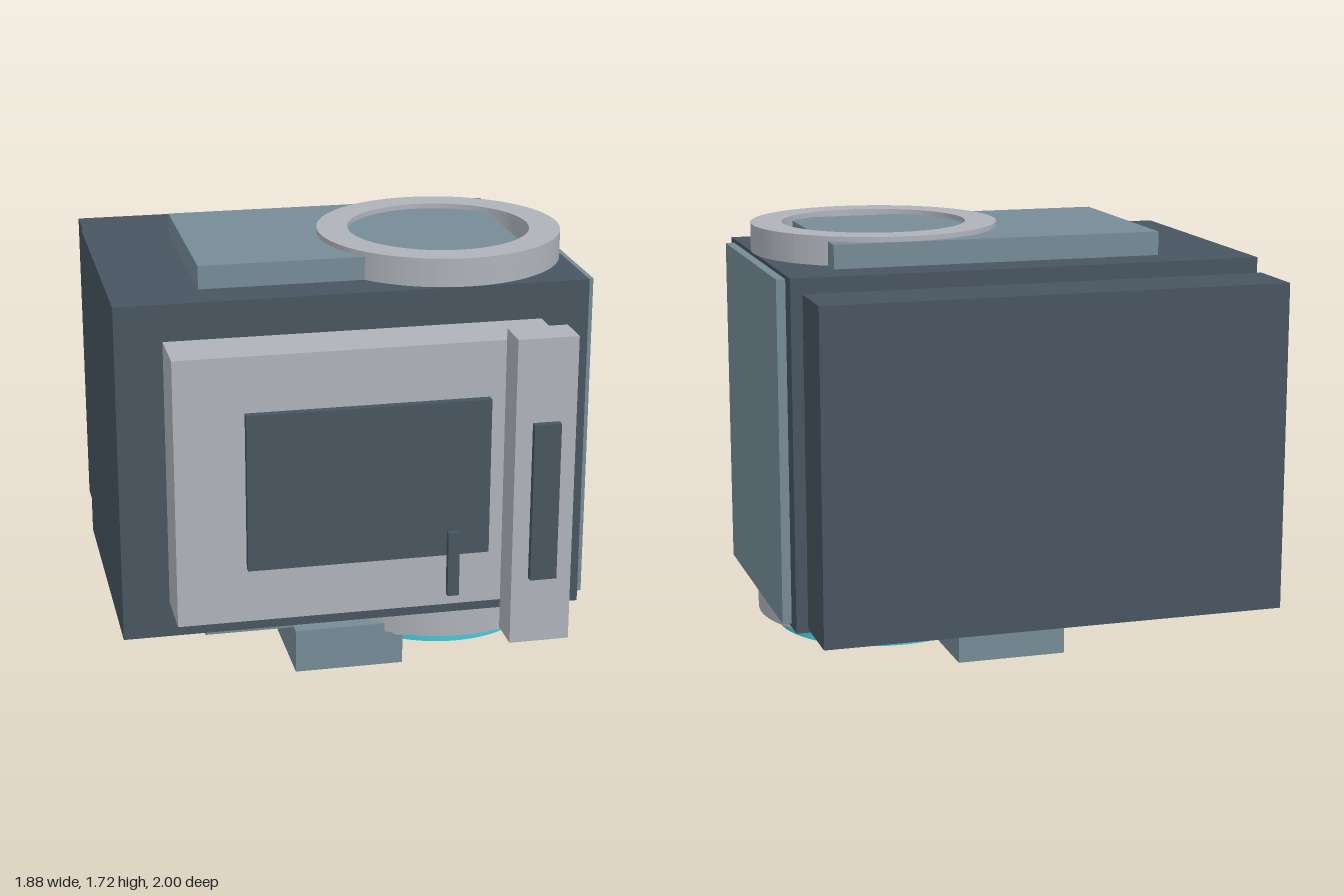
import * as THREE from 'three';

const mat = (name, color) => {
  const m = new THREE.MeshStandardMaterial({ color });
  m.name = name;
  return m;
};

export function createModel() {
  const group = new THREE.Group();
  const dark = mat('dark slate', 0x485560);
  const steel = mat('steel blue', 0x768c97);
  const light = mat('light grey', 0xafb3ba);
  const teal = mat('teal', 0x45cbd8);

  const add = (name, geometry, material) => {
    const mesh = new THREE.Mesh(geometry, material);
    mesh.name = name;
    group.add(mesh);
    return mesh;
  };

  // Box given by its limits on each axis
  const box = (name, material, [x0, x1], [y0, y1], [z0, z1]) =>
    add(name, new THREE.BoxGeometry(x1 - x0, y1 - y0, z1 - z0), material)
      .position.set((x0 + x1) / 2, (y0 + y1) / 2, (z0 + z1) / 2);

  // Flat ring lying in the horizontal plane
  const cx = 0.42, cz = 0.015;
  const ring = (name, material, outer, inner, y0, y1) => {
    const shape = new THREE.Shape().absarc(0, 0, outer, 0, Math.PI * 2);
    shape.holes.push(new THREE.Path().absarc(0, 0, inner, 0, Math.PI * 2, true));
    const g = new THREE.ExtrudeGeometry(shape, { depth: y1 - y0, bevelEnabled: false, curveSegments: 48 });
    g.rotateX(-Math.PI / 2);
    add(name, g, material).position.set(cx, y0, cz);
  };

  // Housing, rear block and the joint between them
  box('mainBody', dark, [-0.94, 0.9], [0.255, 1.605], [-0.645, 0.5]);
  box('rearJoint', steel, [-0.84, 0.8], [0.33, 1.53], [-0.74, -0.645]);
  box('rearBlock', dark, [-0.917, 0.875], [0.3, 1.56], [-1, -0.738]);
  box('sidePanel', steel, [0.9, 0.935], [0.27, 1.59], [-0.56, 0.44]);

  // Front frame with its screen and small lever
  box('frontFrame', light, [-0.757, 0.712], [0.4, 1.46], [0.5, 0.735]);
  box('frontScreen', dark, [-0.49, 0.447], [0.62, 1.24], [0.735, 0.768]);
  box('frontLever', dark, [0.28, 0.325], [0.46, 0.72], [0.768, 0.795]);

  // Free-standing upright bar with grip
  box('uprightBar', light, [0.48, 0.712], [0.325, 1.535], [0.827, 0.972]);
  box('barGrip', dark, [0.545, 0.648], [0.59, 1.21], [0.972, 1]);

  // Mounting plates and collars on top and bottom
  box('topPlate', steel, [-0.595, 0.697], [1.605, 1.697], [-0.477, 0.33]);
  box('bottomPlate', steel, [-0.595, 0.697], [0.165, 0.255], [-0.477, 0.33]);
  ring('topCollar', light, 0.485, 0.362, 1.605, 1.717);
  ring('bottomCollar', light, 0.485, 0.362, 0.145, 0.255);

  // Glowing ring and foot block underneath
  ring('tealRing', teal, 0.405, 0.335, 0.085, 0.146);
  box('footBlock', steel, [-0.24, 0.2], [0, 0.18], [-0.425, 0.4]);
  box('footMarker', teal, [-0.25, -0.241], [0.125, 0.165], [-0.1, 0.1]);

  // Screws under the collar
  for (const side of [-1, 1]) {
    add('collarScrew', new THREE.CylinderGeometry(0.06, 0.06, 0.016, 16), light)
      .position.set(cx + side * 0.22, 0.137, 0.355);
  }

  // Tabs on the collar rim
  box('rearTab', steel, [0.82, 0.875], [0.203, 0.242], [-0.275, -0.17]);
  box('frontTab', steel, [0.858, 0.873], [0.203, 0.245], [0.2, 0.225]);

  return group;
}
